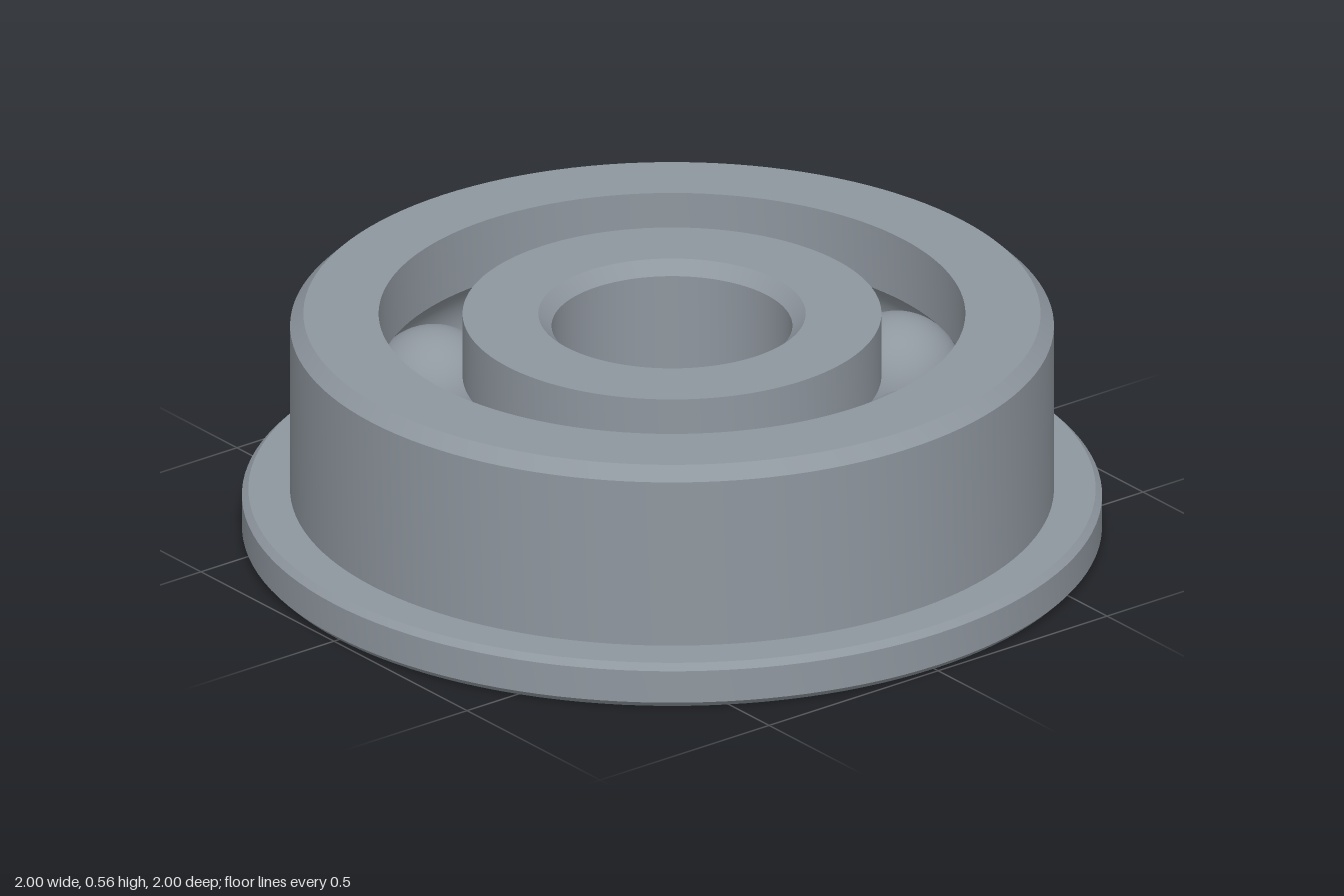
import * as THREE from 'three';
import { toCreasedNormals } from 'three/addons/utils/BufferGeometryUtils.js';

const HEIGHT = 0.557, MID = HEIGHT / 2;
const PITCH = 0.584, BALL = 0.155, BALLS = 8;
const OUTER_RACE = 0.682, INNER_RACE = 0.487;

// Arc of the ball groove in a race, between two angles around the ball centre
function groove(from, to, steps = 14) {
  return Array.from({ length: steps + 1 }, (_, i) => {
    const a = from + (to - from) * i / steps;
    return [PITCH + BALL * Math.cos(a), MID + BALL * Math.sin(a)];
  });
}

// Closed ring turned from [radius, y] points, with sharp edges kept
function ring(points, material, name) {
  const profile = points.map(([r, y]) => new THREE.Vector2(r, y));
  profile.push(profile[0].clone());
  const geometry = toCreasedNormals(new THREE.LatheGeometry(profile, 128), Math.PI / 6);
  const mesh = new THREE.Mesh(geometry, material);
  mesh.name = name;
  return mesh;
}

export function createModel() {
  const group = new THREE.Group();
  group.name = 'flangedBallBearing';
  const steel = new THREE.MeshStandardMaterial({ color: 0x8f979f });
  steel.name = 'steel';

  // Outer ring: chamfered flange, body and grooved race
  const outer = Math.acos((OUTER_RACE - PITCH) / BALL);
  group.add(ring([
    [OUTER_RACE, 0], [0.985, 0], [1, 0.015], [1, 0.095], [0.985, 0.11],
    [0.888, 0.11], [0.888, HEIGHT - 0.031], [0.857, HEIGHT], [OUTER_RACE, HEIGHT],
    ...groove(outer, -outer),
  ], steel, 'outerRing'));

  // Inner ring: chamfered bore and grooved race
  const inner = Math.acos((PITCH - INNER_RACE) / BALL);
  group.add(ring([
    [0.28, 0.031], [0.311, 0], [INNER_RACE, 0],
    ...groove(Math.PI + inner, Math.PI - inner),
    [INNER_RACE, HEIGHT], [0.311, HEIGHT], [0.28, HEIGHT - 0.031],
  ], steel, 'innerRing'));

  // Balls evenly spaced between the races
  const ballGeometry = new THREE.SphereGeometry(BALL - 0.001, 40, 28);
  for (let i = 0; i < BALLS; i++) {
    const a = THREE.MathUtils.degToRad(11.7) + i * 2 * Math.PI / BALLS;
    const ball = new THREE.Mesh(ballGeometry, steel);
    ball.name = 'ball' + (i + 1);
    ball.position.set(PITCH * Math.cos(a), MID, PITCH * Math.sin(a));
    group.add(ball);
  }
  return group;
}
